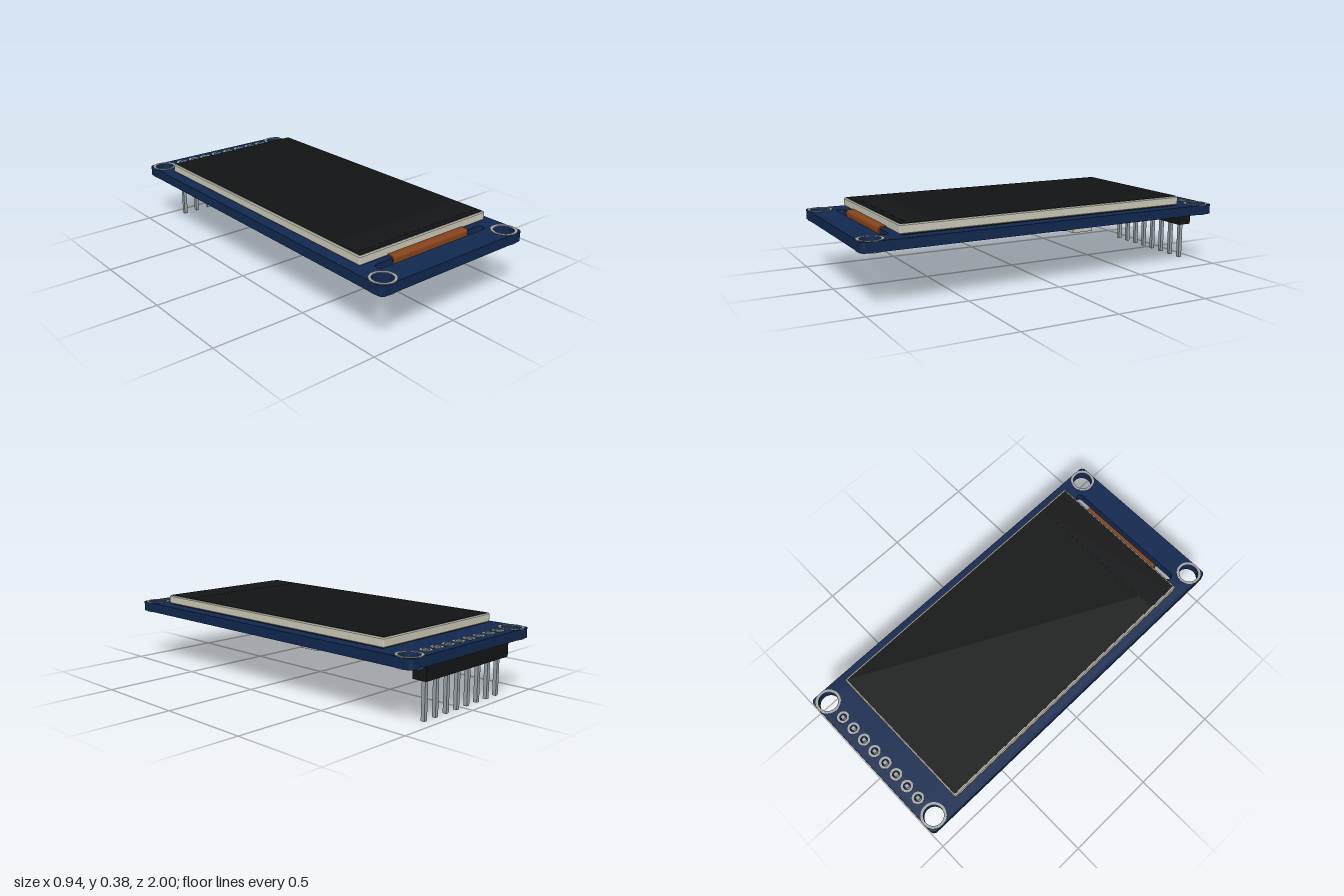
import * as THREE from 'three';

const COLORS = {
  board: 0x11284f, metal: 0xa4a7a5, pin: 0x9aa3a9, black: 0x141516, glass: 0x111314,
  frame: 0xcac8b8, flex: 0x86431a, trace: 0x74380f, ceramic: 0x8f6238, gold: 0xb08a4a,
};
const mats = {};
for (const key in COLORS) mats[key] = new THREE.MeshStandardMaterial({ color: COLORS[key] });

export function createModel() {
  const model = new THREE.Group();

  const add = (name, geometry, mat, x = 0, y = 0, z = 0, parent = model) => {
    const mesh = new THREE.Mesh(geometry, mats[mat]);
    mesh.name = name;
    mesh.position.set(x, y, z);
    parent.add(mesh);
    return mesh;
  };
  // Box given by its extents on each axis
  const block = (name, mat, x0, x1, y0, y1, z0, z1, parent) =>
    add(name, new THREE.BoxGeometry(x1 - x0, y1 - y0, z1 - z0), mat,
      (x0 + x1) / 2, (y0 + y1) / 2, (z0 + z1) / 2, parent);
  // Rounded rectangle path in plan; the shape's y is -z
  const roundRect = (path, cx, cy, hw, hh, r) => {
    path.moveTo(cx + hw, cy - hh + r);
    path.absarc(cx + hw - r, cy + hh - r, r, 0, Math.PI / 2);
    path.absarc(cx - hw + r, cy + hh - r, r, Math.PI / 2, Math.PI);
    path.absarc(cx - hw + r, cy - hh + r, r, Math.PI, Math.PI * 1.5);
    path.absarc(cx + hw - r, cy - hh + r, r, Math.PI * 1.5, Math.PI * 2);
    return path;
  };
  const circle = (path, x, y, r) => path.absarc(x, y, r, 0, Math.PI * 2);
  // Flat plate extruded upward from a plan shape
  const plate = (shape, depth, bevel = 0) => new THREE.ExtrudeGeometry(shape, {
    depth: depth - bevel, bevelEnabled: bevel > 0, bevelThickness: bevel,
    bevelSize: bevel, bevelOffset: -bevel, bevelSegments: 1, curveSegments: 16,
  }).rotateX(-Math.PI / 2);

  const mounts = [];
  for (const x of [-0.403, 0.403]) for (const z of [-0.937, 0.937]) mounts.push([x, z]);
  const pinXs = Array.from({ length: 8 }, (_, i) => (i - 3.5) * 0.0818);
  const pinZ = -0.935, bottom = 0.276, top = 0.327;

  // Circuit board with mounting holes, pin holes and the cable slot
  const board = roundRect(new THREE.Shape(), 0, 0, 0.467, 1, 0.025);
  for (const [x, z] of mounts) board.holes.push(circle(new THREE.Path(), x, -z, 0.051));
  for (const x of pinXs) board.holes.push(circle(new THREE.Path(), x, -pinZ, 0.018));
  board.holes.push(roundRect(new THREE.Path(), 0, -0.846, 0.354, 0.022, 0.0215));
  add('circuitBoard', plate(board, top - bottom), 'board', 0, bottom, 0);

  // Metal rings around the holes on both faces
  const ring = (rOut, rIn) => {
    const s = circle(new THREE.Shape(), 0, 0, rOut);
    s.holes.push(circle(new THREE.Path(), 0, 0, rIn));
    return plate(s, 0.003);
  };
  const mountRing = ring(0.065, 0.051), pinRing = ring(0.031, 0.018);
  for (const y of [bottom - 0.0025, top - 0.0005]) {
    for (const [x, z] of mounts) add('mountingRing', mountRing, 'metal', x, y, z);
    for (const x of pinXs) add('pinRing', pinRing, 'metal', x, y, pinZ);
  }

  // Pin header
  const header = new THREE.Group();
  header.name = 'pinHeader';
  model.add(header);
  block('headerBody', 'black', -0.326, 0.326, 0.196, bottom, -0.972, -0.895, header);
  for (const x of pinXs)
    block('headerPin', 'pin', x - 0.01, x + 0.01, 0, 0.334, pinZ - 0.01, pinZ + 0.01, header);

  // Display: adhesive pad, chamfered frame, glass and its lower border
  block('adhesivePad', 'black', -0.4, 0.4, top, 0.339, -0.785, 0.785);
  const frame = roundRect(new THREE.Shape(), 0, 0, 0.416, 0.802, 0.006);
  add('displayFrame', plate(frame, 0.042, 0.005), 'frame', 0, 0.338, 0)
    .geometry.translate(0, 0, 0);
  block('displayGlass', 'glass', -0.406, 0.406, 0.372, 0.382, -0.795, 0.793);
  block('glassBorder', 'black', -0.402, 0.402, 0.38, 0.3826, 0.62, 0.76);

  // Flexible cable folded through the slot, drawn in side profile
  const fold = new THREE.Shape();
  fold.moveTo(0.76, 0.343);
  fold.lineTo(0.825, 0.343);
  fold.quadraticCurveTo(0.843, 0.343, 0.843, 0.325);
  fold.lineTo(0.843, 0.283);
  fold.quadraticCurveTo(0.843, 0.267, 0.825, 0.267);
  fold.lineTo(-0.2, 0.267);
  fold.lineTo(-0.2, 0.273);
  fold.lineTo(0.825, 0.273);
  fold.quadraticCurveTo(0.835, 0.273, 0.835, 0.283);
  fold.lineTo(0.835, 0.325);
  fold.quadraticCurveTo(0.835, 0.337, 0.825, 0.337);
  fold.lineTo(0.76, 0.337);
  const foldGeo = new THREE.ExtrudeGeometry(fold, { depth: 0.496, bevelEnabled: false });
  add('flexCable', foldGeo.rotateY(-Math.PI / 2), 'flex', 0.248, 0, 0);

  // Wider side tab of the cable
  const tab = new THREE.Shape([[0.24, -0.83], [0.335, -0.83], [0.335, -0.7], [0.248, -0.63], [0.24, -0.63]]
    .map(([x, y]) => new THREE.Vector2(x, y)));
  add('flexCableTab', plate(tab, 0.006), 'flex', 0, 0.267, 0);

  // Fine conductors along the cable
  for (let i = 0; i < 24; i++) {
    const x = (i - 11.5) * 0.019;
    block('cableTrace', 'trace', x - 0.003, x + 0.003, 0.2662, 0.268, -0.18, 0.6);
  }

  // Cable connector with latch and solder leads
  const connector = new THREE.Group();
  connector.name = 'cableConnector';
  model.add(connector);
  block('connectorBody', 'frame', -0.326, 0.326, 0.222, bottom, -0.306, -0.186, connector);
  block('connectorLatch', 'black', -0.255, 0.255, 0.221, 0.229, -0.22, -0.17, connector);
  for (let i = 0; i < 24; i++) {
    const x = (i - 11.5) * 0.021;
    block('connectorLead', 'metal', x - 0.004, x + 0.004, 0.27, bottom, -0.335, -0.3, connector);
  }

  // Small chip parts: a body with a solder cap at each end
  const chip = (x, z, w, d, h, mat) => {
    const part = new THREE.Group();
    part.name = 'chipPart';
    model.add(part);
    block('chipBody', mat, x - w / 2, x + w / 2, bottom - h, bottom, z - d / 2, z + d / 2, part);
    for (const s of [-1, 1])
      block('chipCap', 'gold', x + s * w / 2 - 0.008, x + s * w / 2 + 0.008,
        bottom - h - 0.002, bottom, z - d / 2 - 0.001, z + d / 2 + 0.001, part);
  };
  chip(0.3, -0.617, 0.055, 0.045, 0.02, 'ceramic');
  chip(0.09, -0.617, 0.055, 0.045, 0.02, 'ceramic');
  chip(0.03, -0.617, 0.04, 0.03, 0.014, 'black');
  chip(-0.09, -0.617, 0.05, 0.03, 0.014, 'black');
  chip(-0.21, -0.617, 0.055, 0.045, 0.02, 'ceramic');

  // Voltage regulator with three legs
  block('regulatorBody', 'black', 0.145, 0.225, 0.25, 0.272, -0.64, -0.595);
  for (const [x, z] of [[0.16, -0.65], [0.21, -0.65], [0.185, -0.585]])
    block('regulatorLeg', 'metal', x - 0.008, x + 0.008, 0.268, bottom, z - 0.012, z + 0.012);

  return model;
}
